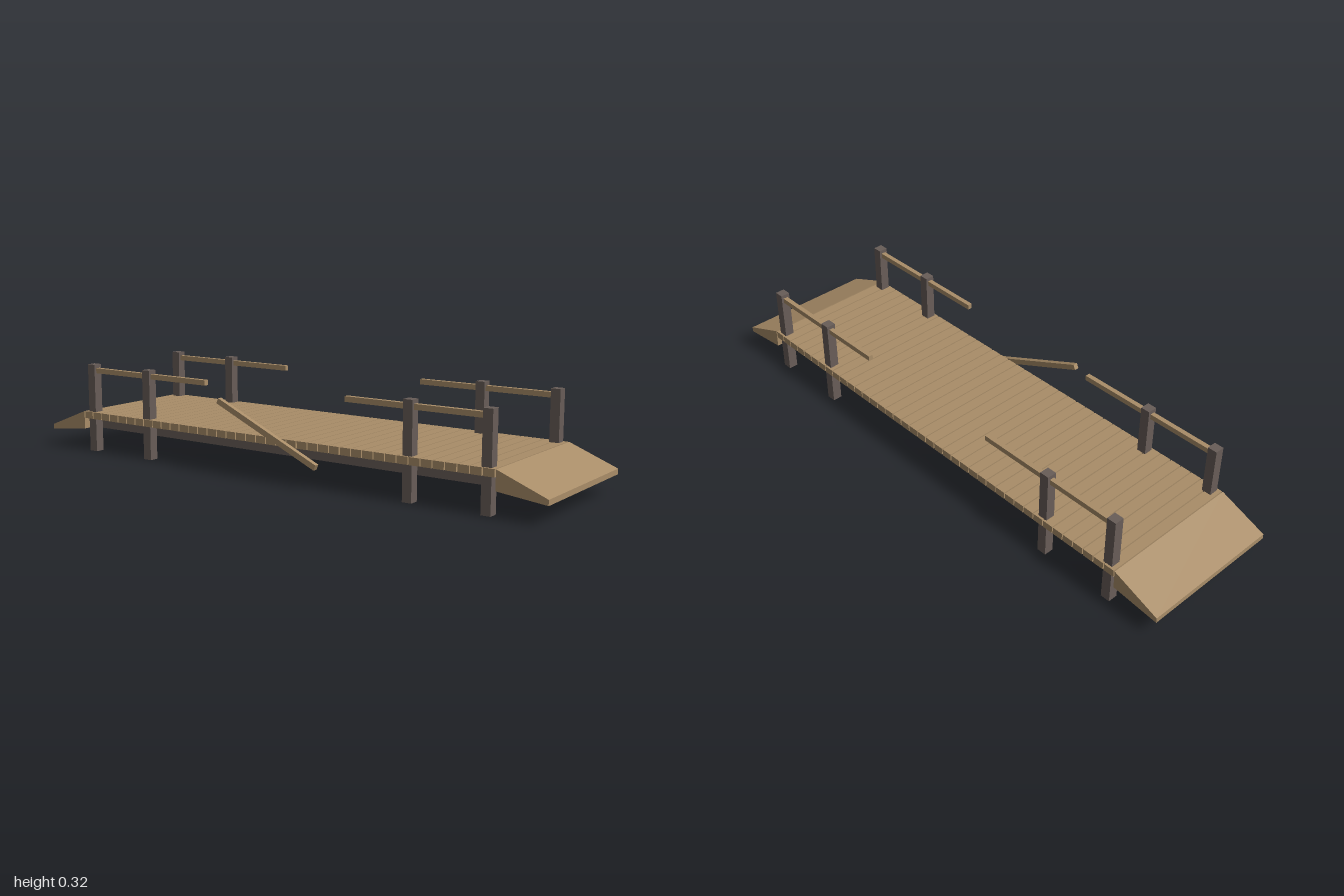
import * as THREE from 'three';

const ZC = -0.02; // centre line of the deck

export function createModel() {
  const wood = new THREE.MeshStandardMaterial({ color: 0xa98d68 });
  wood.name = 'light wood';
  const darkWood = new THREE.MeshStandardMaterial({ color: 0x685d58 });
  darkWood.name = 'dark wood';

  const bridge = new THREE.Group();
  bridge.name = 'woodenBridge';

  const add = (name, geometry, material, x, y, z) => {
    const mesh = new THREE.Mesh(geometry, material);
    mesh.name = name;
    mesh.position.set(x, y, z);
    bridge.add(mesh);
    return mesh;
  };

  // Deck planks with narrow gaps
  const count = 40, pitch = 1.664 / count;
  const plank = new THREE.BoxGeometry(pitch - 0.004, 0.025, 0.5);
  for (let i = 0; i < count; i++) {
    add('plank', plank, wood, (i - (count - 1) / 2) * pitch, 0.132, ZC);
  }

  // Stringers under the deck
  const stringer = new THREE.BoxGeometry(1.67, 0.04, 0.034);
  for (const s of [-1, 1]) add('stringer', stringer, darkWood, 0, 0.1, ZC + s * 0.183);

  // Solid wedge ramps at both ends
  for (const s of [-1, 1]) {
    const profile = new THREE.Shape([
      [0.834, 0.08], [1, 0.061], [1, 0.079], [0.834, 0.1445],
    ].map(([x, y]) => new THREE.Vector2(s * x, y)));
    const ramp = new THREE.ExtrudeGeometry(profile, { depth: 0.5, bevelEnabled: false });
    add(s < 0 ? 'rightRamp' : 'leftRamp', ramp, wood, 0, 0, ZC - 0.25);
  }

  // Posts and the surviving handrails on each side
  const post = new THREE.BoxGeometry(0.033, 0.317, 0.033);
  for (const side of [-1, 1]) {
    const z = ZC + side * 0.226;
    for (const x of [-0.8, -0.533, 0.533, 0.8]) add('post', post, darkWood, x, 0.1585, z);
    for (const [x0, x1] of [[-0.8, -0.27], [0.3, 0.8]]) {
      add('handrail', new THREE.BoxGeometry(x1 - x0, 0.018, 0.0165), wood, (x0 + x1) / 2, 0.295, z);
    }
  }

  // Broken rail hanging off the front
  const broken = add('brokenRail', new THREE.BoxGeometry(0.43, 0.019, 0.0165), wood, 0.03, 0.1645, 0.264);
  broken.rotation.z = -0.42;

  return bridge;
}
